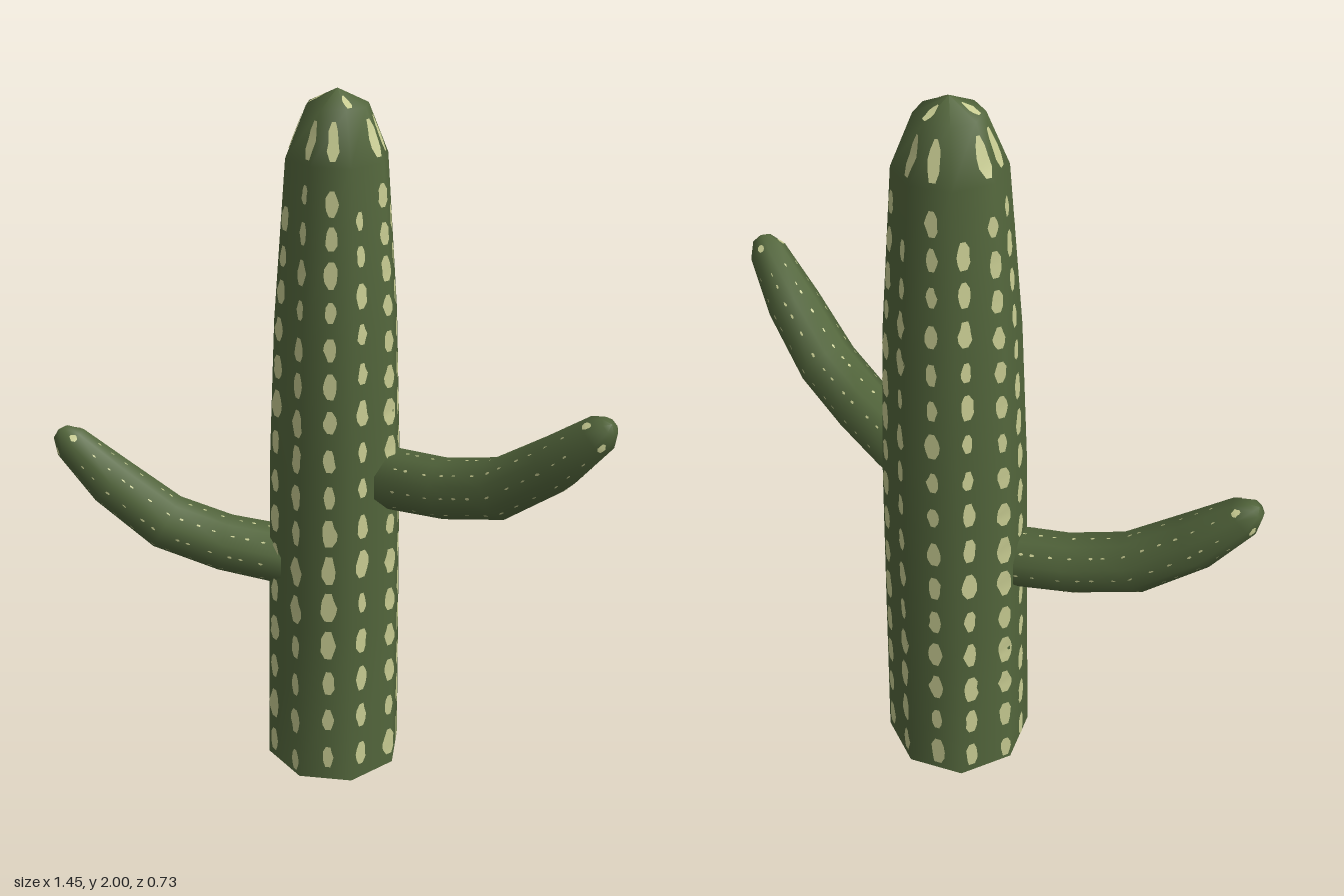
import * as THREE from 'three';

const SIDES = 8;

const green = new THREE.MeshStandardMaterial({ color: 0x53663c, side: THREE.DoubleSide });
green.name = 'cactus green';
const pale = new THREE.MeshStandardMaterial({ color: 0xc8cc92, side: THREE.DoubleSide });
pale.name = 'pale spots';

// Repeatable random numbers
function seeded(seed) {
  return () => {
    seed = (seed * 16807) % 2147483647;
    return seed / 2147483647;
  };
}

function makeGeometry(positions, index) {
  const geo = new THREE.BufferGeometry();
  geo.setAttribute('position', new THREE.Float32BufferAttribute(positions, 3));
  geo.setIndex(index);
  geo.computeVertexNormals();
  return geo;
}

// Eight-sided limb along a path of [x, y, radius] in the xy plane.
// point(u, t, lift): u counts sides around, t counts rings along.
function makeLimb(path, startAngle) {
  const rings = path.map(([x, y, r], i) => {
    const a = path[Math.max(i - 1, 0)], b = path[Math.min(i + 1, path.length - 1)];
    const len = Math.hypot(b[0] - a[0], b[1] - a[1]);
    return { x, y, r, nx: (b[1] - a[1]) / len, ny: -(b[0] - a[0]) / len };
  });
  const corner = (ring, j, lift) => {
    const a = startAngle - (j * Math.PI * 2) / SIDES;
    const r = Math.max(ring.r + lift, 0), c = Math.cos(a) * r;
    return new THREE.Vector3(ring.x + ring.nx * c, ring.y + ring.ny * c, Math.sin(a) * r);
  };
  const point = (u, t, lift = 0) => {
    const j = Math.floor(u), i = Math.min(Math.floor(t), rings.length - 2);
    const low = corner(rings[i], j, lift).lerp(corner(rings[i], j + 1, lift), u - j);
    const high = corner(rings[i + 1], j, lift).lerp(corner(rings[i + 1], j + 1, lift), u - j);
    return low.lerp(high, t - i);
  };
  const positions = [], index = [];
  rings.forEach((ring, i) => {
    for (let j = 0; j < SIDES; j++) {
      positions.push(...corner(ring, j, 0).toArray());
      if (i === rings.length - 1) continue;
      const a = i * SIDES + j, b = i * SIDES + (j + 1) % SIDES;
      index.push(a, b, b + SIDES, a, b + SIDES, a + SIDES);
    }
  });
  return { geometry: makeGeometry(positions, index), point };
}

// Ragged patches lying on a limb; each is a strip of left and right points
function makeSpots(limb, spots, lift, random) {
  const positions = [], index = [], outline = [0.45, 0.9, 1, 0.85, 0.4];
  for (const { u, t, w, h } of spots) {
    const base = positions.length / 3;
    outline.forEach((k, i) => {
      const tt = t + h * (i / 2 - 1);
      const left = u - w * k * (0.75 + random() * 0.45);
      const right = u + w * k * (0.75 + random() * 0.45);
      positions.push(...limb.point(left, tt, lift).toArray(), ...limb.point(right, tt, lift).toArray());
      if (i === outline.length - 1) return;
      const a = base + i * 2;
      index.push(a, a + 1, a + 3, a, a + 3, a + 2);
    });
  }
  return makeGeometry(positions, index);
}

function addMesh(parent, name, geometry, material) {
  const mesh = new THREE.Mesh(geometry, material);
  mesh.name = name;
  parent.add(mesh);
}

function makeTrunk() {
  const group = new THREE.Group();
  group.name = 'trunk';
  const path = [
    [0, 0, 0.204], [0, 0.5, 0.196], [0, 1, 0.187], [0, 1.4, 0.17],
    [0, 1.83, 0.136], [0, 1.96, 0.082], [0, 2, 0],
  ];
  const limb = makeLimb(path, THREE.MathUtils.degToRad(165));
  addMesh(group, 'trunkBody', limb.geometry, green);

  // Turns a height into a position between rings
  const ringAt = (y) => {
    const i = Math.min(Math.max(path.findIndex((p) => p[1] > y) - 1, 0), path.length - 2);
    return i + (y - path[i][1]) / (path[i + 1][1] - path[i][1]);
  };
  const byHeight = { point: (u, y, lift) => limb.point(u, ringAt(y), lift) };

  // Twelve columns of spots, closer together towards the top
  const random = seeded(71);
  const spots = [];
  for (let c = 0; c < 12; c++) {
    let y = 0.05 + random() * 0.04;
    while (y < 1.76) {
      const size = 0.8 + random() * 0.4;
      spots.push({ u: 0.55 + c / 1.5, t: y, w: 0.125 * size, h: (0.043 - y * 0.008) * size });
      y += 0.135 - y * 0.025 + (random() - 0.5) * 0.012;
    }
    // Spots on the rounded crown
    if (c % 3 !== 1) spots.push({ u: 0.55 + c / 1.5, t: 1.89, w: 0.17, h: 0.045 });
    if (c % 4 === 0) spots.push({ u: 0.55 + c / 1.5, t: 1.975, w: 0.25, h: 0.011 });
  }
  addMesh(group, 'trunkSpots', makeSpots(byHeight, spots, 0.004, random), pale);
  // The open base shows spots on the inner wall too
  addMesh(group, 'trunkInnerSpots', makeSpots(byHeight, spots, -0.004, random), pale);
  group.position.set(-0.105, 0, -0.16);
  return group;
}

function makeArm(name, x, y, z, dx, dz, seed) {
  const group = new THREE.Group();
  group.name = name;
  const path = [
    [-0.06, -0.008, 0.085], [0, 0, 0.086], [0.17, 0.025, 0.083], [0.34, 0.08, 0.083],
    [0.495, 0.2, 0.075], [0.61, 0.315, 0.052], [0.638, 0.346, 0.026], [0.643, 0.352, 0],
  ];
  const limb = makeLimb(path, Math.PI / 8);
  addMesh(group, name + 'Body', limb.geometry, green);

  // Fine specks along the arm and small patches around its tip
  const random = seeded(seed);
  const spots = [];
  for (let c = 0; c < SIDES; c++) {
    for (let k = 0; k < 12; k++) {
      spots.push({ u: c + 0.5, t: 1.2 + k * 0.3 + random() * 0.15, w: 0.03 + random() * 0.03, h: 0.035 });
    }
    if (c % 2) spots.push({ u: c + 0.5, t: 5.2, w: 0.25, h: 0.22 });
  }
  addMesh(group, name + 'Spots', makeSpots(limb, spots, 0.003, random), pale);
  group.position.set(x, y, z);
  group.rotation.y = Math.atan2(-dz, dx);
  return group;
}

export function createModel() {
  const model = new THREE.Group();
  model.name = 'cactus';
  model.add(
    makeTrunk(),
    makeArm('leftArm', 0.07, 0.95, -0.217, 0.9935, -0.114, 19),
    makeArm('rightArm', -0.2, 0.67, -0.045, -0.796, 0.605, 43),
  );
  return model;
}
